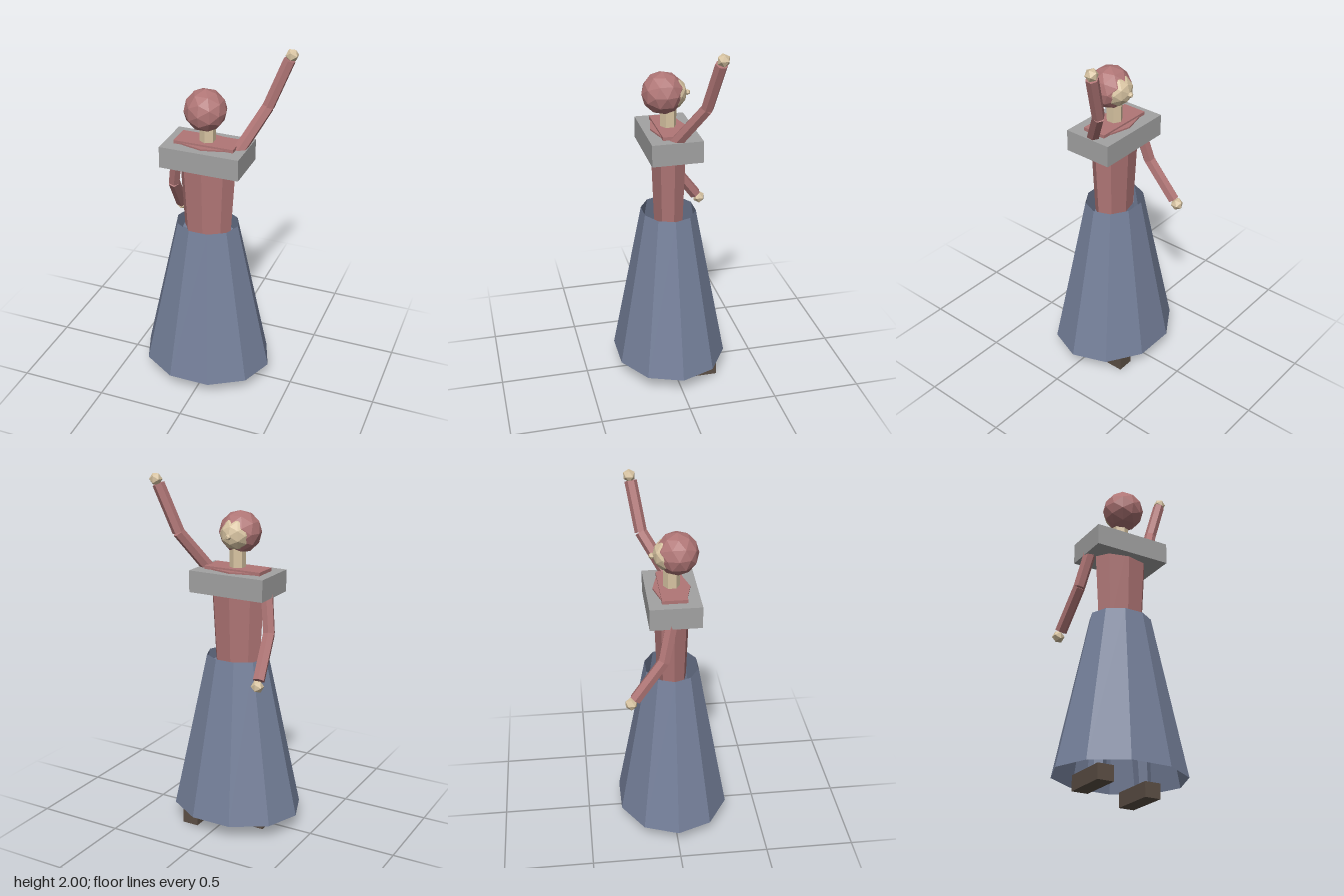
import * as THREE from 'three';

const material = (name, color, side = THREE.FrontSide) => {
  const m = new THREE.MeshStandardMaterial({ color, flatShading: true, side });
  m.name = name;
  return m;
};

export function createModel() {
  const rose = material('rose cloth', 0xb07676);
  const skin = material('pale skin', 0xd8c4a2);
  const blue = material('slate blue cloth', 0x75809a, THREE.DoubleSide);
  const grey = material('grey collar', 0xa2a2a2);
  const brown = material('brown leather', 0x5c4f45);

  const model = new THREE.Group();
  model.name = 'wavingFigure';
  const body = -0.025; // x of the body's middle line

  const add = (name, geometry, mat, x, y, z) => {
    const mesh = new THREE.Mesh(geometry, mat);
    mesh.name = name;
    mesh.position.set(x, y, z);
    model.add(mesh);
    return mesh;
  };
  const box = (name, mat, [w, h, d], [x, y, z]) =>
    add(name, new THREE.BoxGeometry(w, h, d), mat, x, y, z);
  const ball = (name, mat, r, detail, [x, y, z]) =>
    add(name, new THREE.IcosahedronGeometry(r, detail), mat, x, y, z);

  // Straight limb segment between two points
  const limb = (name, mat, from, to, r0, r1, sides = 6) => {
    const a = new THREE.Vector3(...from), b = new THREE.Vector3(...to);
    const dir = b.clone().sub(a);
    const mid = a.clone().add(b).multiplyScalar(0.5);
    const mesh = add(name, new THREE.CylinderGeometry(r1, r0, dir.length(), sides), mat, mid.x, mid.y, mid.z);
    mesh.quaternion.setFromUnitVectors(new THREE.Vector3(0, 1, 0), dir.normalize());
    return mesh;
  };

  // Open ten-sided skirt, flattened front to back
  const skirt = new THREE.CylinderGeometry(0.18, 0.381, 0.91, 10, 1, true, Math.PI / 2);
  skirt.scale(1, 1, 0.853);
  add('skirt', skirt, blue, body, 0.545, 0);

  // Torso, collar slab and shoulder plate
  const torso = new THREE.CylinderGeometry(0.17, 0.137, 0.55, 8);
  torso.scale(1, 1, 0.6);
  add('torso', torso, rose, body, 1.215, 0);
  box('collar', grey, [0.452, 0.122, 0.28], [body, 1.42, 0]);
  box('shoulderPlate', rose, [0.342, 0.08, 0.138], [body, 1.46, 0]);

  // Neck and head; the face looks toward -z
  add('neck', new THREE.CylinderGeometry(0.045, 0.045, 0.16, 6), skin, body, 1.55, 0);
  ball('face', skin, 0.092, 1, [body, 1.685, -0.01]);
  ball('hair', rose, 0.117, 1, [body, 1.688, 0.03]);
  ball('nose', skin, 0.017, 0, [body, 1.68, -0.105]);

  // Arms: shoulder, elbow, wrist, hand
  const arms = {
    raised: [[0.15, 1.46, 0.005], [0.267, 1.685, -0.135], [0.362, 1.945, -0.178], [0.373, 1.97, -0.185]],
    lowered: [[-0.2, 1.46, 0], [-0.255, 1.17, -0.065], [-0.28, 0.955, -0.225], [-0.284, 0.93, -0.247]],
  };
  for (const [name, [shoulder, elbow, wrist, hand]] of Object.entries(arms)) {
    limb(name + 'UpperArm', rose, shoulder, elbow, 0.036, 0.034);
    limb(name + 'Forearm', rose, elbow, wrist, 0.034, 0.034);
    ball(name + 'Hand', skin, 0.036, 0, hand);
  }

  // Legs hidden under the skirt and block shoes, one a step ahead
  for (const [name, hipX, x, y, z] of [['left', 0.06, 0.156, 0, -0.1], ['right', -0.11, -0.203, 0.012, 0.025]]) {
    limb(name + 'Leg', blue, [hipX, 0.95, 0], [x, y + 0.05, z + 0.04], 0.065, 0.045);
    box(name + 'Shoe', brown, [0.095, 0.085, 0.27], [x, y + 0.0425, z]);
  }

  return model;
}
